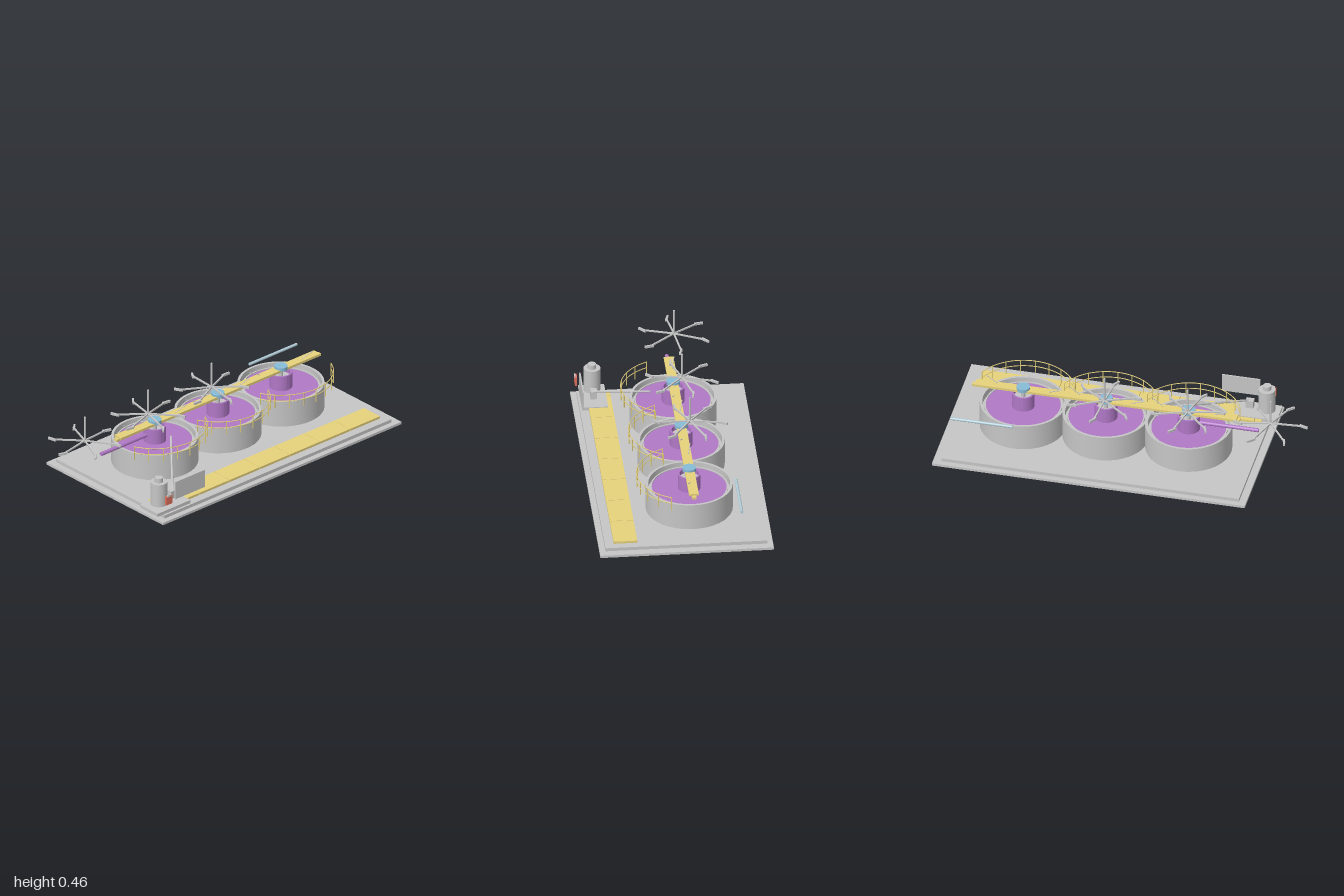
import * as THREE from 'three';
import { toCreasedNormals } from 'three/addons/utils/BufferGeometryUtils.js';

const mat = (name, color) => {
  const m = new THREE.MeshStandardMaterial({ color });
  m.name = name;
  return m;
};

export function createModel() {
  const grey = mat('concrete grey', 0xc6c6c6);
  const purple = mat('purple', 0xb078c6);
  const yellow = mat('yellow', 0xe6d27c);
  const blue = mat('motor blue', 0x88bcd8);
  const paleBlue = mat('pale blue', 0xb2cdd8);
  const red = mat('red', 0xe0705c);

  const root = new THREE.Group();
  root.name = 'clarifierPlant';

  const add = (parent, name, geo, m, x = 0, y = 0, z = 0) => {
    const mesh = new THREE.Mesh(geo, m);
    mesh.name = name;
    mesh.position.set(x, y, z);
    parent.add(mesh);
    return mesh;
  };
  // box given by its min and max corners
  const box = (parent, name, m, a, b) => add(parent, name,
    new THREE.BoxGeometry(b[0] - a[0], b[1] - a[1], b[2] - a[2]), m,
    (a[0] + b[0]) / 2, (a[1] + b[1]) / 2, (a[2] + b[2]) / 2);
  // upright cylinder from y0 to y1
  const drum = (parent, name, m, r, y0, y1, x = 0, z = 0, n = 32) => add(parent, name,
    new THREE.CylinderGeometry(r, r, y1 - y0, n), m, x, (y0 + y1) / 2, z);
  // round rod between two points
  const rod = (parent, name, m, a, b, r, n = 8) => {
    const p = new THREE.Vector3(...a), q = new THREE.Vector3(...b);
    const d = q.clone().sub(p);
    const mesh = add(parent, name, new THREE.CylinderGeometry(r, r, d.length(), n), m);
    mesh.position.copy(p).add(q).multiplyScalar(0.5);
    mesh.quaternion.setFromUnitVectors(new THREE.Vector3(0, 1, 0), d.normalize());
    return mesh;
  };
  // ring wall, smooth around with sharp edges
  const ringWall = (parent, name, m, rOut, rIn, y0, y1) => {
    const s = new THREE.Shape().absarc(0, 0, rOut, 0, Math.PI * 2);
    s.holes.push(new THREE.Path().absarc(0, 0, rIn, 0, Math.PI * 2, true));
    const g = new THREE.ExtrudeGeometry(s, { depth: y1 - y0, bevelEnabled: false, curveSegments: 48 });
    g.rotateX(-Math.PI / 2);
    return add(parent, name, toCreasedNormals(g, 0.6), m, 0, y0, 0);
  };

  // stepped foundation
  box(root, 'foundation', grey, [-0.74, 0, -0.472], [1, 0.014, 0.472]);
  box(root, 'upperSlab', grey, [-0.7, 0.014, -0.44], [0.955, 0.033, 0.44]);

  // curved guard rail in front of a tank
  const guardRail = (parent) => {
    const g = new THREE.Group();
    g.name = 'guardRail';
    parent.add(g);
    const R = 0.285, a0 = 25, sweep = 130;
    for (const y of [0.268, 0.232]) {
      const bar = new THREE.TorusGeometry(R, 0.0025, 6, 32, THREE.MathUtils.degToRad(sweep));
      bar.rotateZ(THREE.MathUtils.degToRad(a0));
      bar.rotateX(Math.PI / 2);
      add(g, 'railBar', bar, yellow, 0, y, 0);
    }
    for (let i = 0; i <= 8; i++) {
      const a = THREE.MathUtils.degToRad(a0 + sweep * i / 8);
      drum(g, 'railPost', yellow, 0.0028, 0.19, 0.27, R * Math.cos(a), R * Math.sin(a), 6);
    }
  };

  // three round tanks with liquid, feed well and drive
  for (const x of [-0.33, 0.13, 0.59]) {
    const t = new THREE.Group();
    t.name = 'tank';
    t.position.set(x, 0, -0.05);
    root.add(t);
    ringWall(t, 'tankWall', grey, 0.236, 0.222, 0.05, 0.2);
    drum(t, 'tankFloor', grey, 0.225, 0.05, 0.16, 0, 0, 48);
    ringWall(t, 'weir', grey, 0.211, 0.203, 0.16, 0.18);
    drum(t, 'liquid', purple, 0.204, 0.158, 0.175, 0, 0, 48);
    ringWall(t, 'feedWell', purple, 0.062, 0.052, 0.17, 0.262);
    drum(t, 'feedWellCore', grey, 0.053, 0.17, 0.235);
    drum(t, 'driveShaft', grey, 0.012, 0.23, 0.28, 0, 0, 16);
    drum(t, 'driveMotor', blue, 0.037, 0.279, 0.3, 0, 0, 24);
    for (const s of [-1, 1]) {
      rod(t, 'rakeArm', grey, [s * 0.145, 0.29, s * 0.008], [s * 0.21, 0.323, s * 0.025], 0.0022, 6);
    }
    guardRail(t);
  }

  // long walkway over the tanks: deck on a narrow beam
  box(root, 'bridgeDeck', yellow, [-0.6, 0.277, -0.077], [0.855, 0.288, -0.024]);
  box(root, 'bridgeBeam', yellow, [-0.615, 0.264, -0.063], [0.873, 0.278, -0.038]);

  // rotors with six drooping arms and a mast
  [[-0.797, -8], [-0.335, -16], [0.128, -24]].forEach(([x, turn]) => {
    const r = new THREE.Group();
    r.name = 'rotor';
    r.position.set(x, 0.314, -0.098);
    root.add(r);
    rod(r, 'mast', grey, [0, -0.01, 0], [0, 0.146, 0], 0.0055, 8);
    for (let i = 0; i < 6; i++) {
      const arm = new THREE.Group();
      arm.name = 'rotorArm';
      arm.rotation.y = -THREE.MathUtils.degToRad(turn + i * 60);
      r.add(arm);
      box(arm, 'armBar', grey, [0, -0.008, -0.004], [0.18, 0, 0.004]).rotation.z = -0.05;
      const tip = add(arm, 'armPaddle', new THREE.BoxGeometry(0.05, 0.013, 0.01), grey, 0.18, -0.009, 0.004);
      tip.rotation.y = -0.45;
    }
  });

  // feed and outlet pipes
  rod(root, 'feedPipe', purple, [-0.72, 0.222, -0.052], [-0.385, 0.222, -0.052], 0.011, 16);
  rod(root, 'outletPipe', paleBlue, [0.59, 0.207, -0.304], [0.935, 0.207, -0.304], 0.008, 16);

  // front walkway laid from seven panels with narrow gaps
  for (let i = 0; i < 7; i++) {
    const x = -0.62 + i * 0.2193;
    box(root, 'walkwayPanel', yellow, [x + 0.0015, 0.034, 0.263], [x + 0.2178, 0.047, 0.392]);
  }
  box(root, 'walkwayEnd', yellow, [-0.66, 0.034, 0.263], [-0.622, 0.047, 0.392]);

  // dosing station: pad, vessel, pump, screen and control box
  const d = new THREE.Group();
  d.name = 'dosingStation';
  root.add(d);
  box(d, 'pad', grey, [-0.74, 0.0335, 0.287], [-0.5, 0.052, 0.428]);
  drum(d, 'vessel', grey, 0.046, 0.065, 0.2, -0.67, 0.36);
  drum(d, 'vesselCap', grey, 0.023, 0.2, 0.225, -0.67, 0.36, 24);
  box(d, 'pump', grey, [-0.597, 0.07, 0.342], [-0.553, 0.115, 0.377]);
  rod(d, 'dosingPipe', grey, [-0.57, 0.11, 0.36], [-0.325, 0.24, 0.075], 0.006, 12);
  box(d, 'screen', grey, [-0.615, 0.1, 0.427], [-0.403, 0.205, 0.435]);
  box(d, 'controlBox', red, [-0.7, 0.098, 0.441], [-0.655, 0.15, 0.453]);
  box(d, 'controlLid', grey, [-0.692, 0.145, 0.449], [-0.663, 0.157, 0.456]);

  return root;
}
